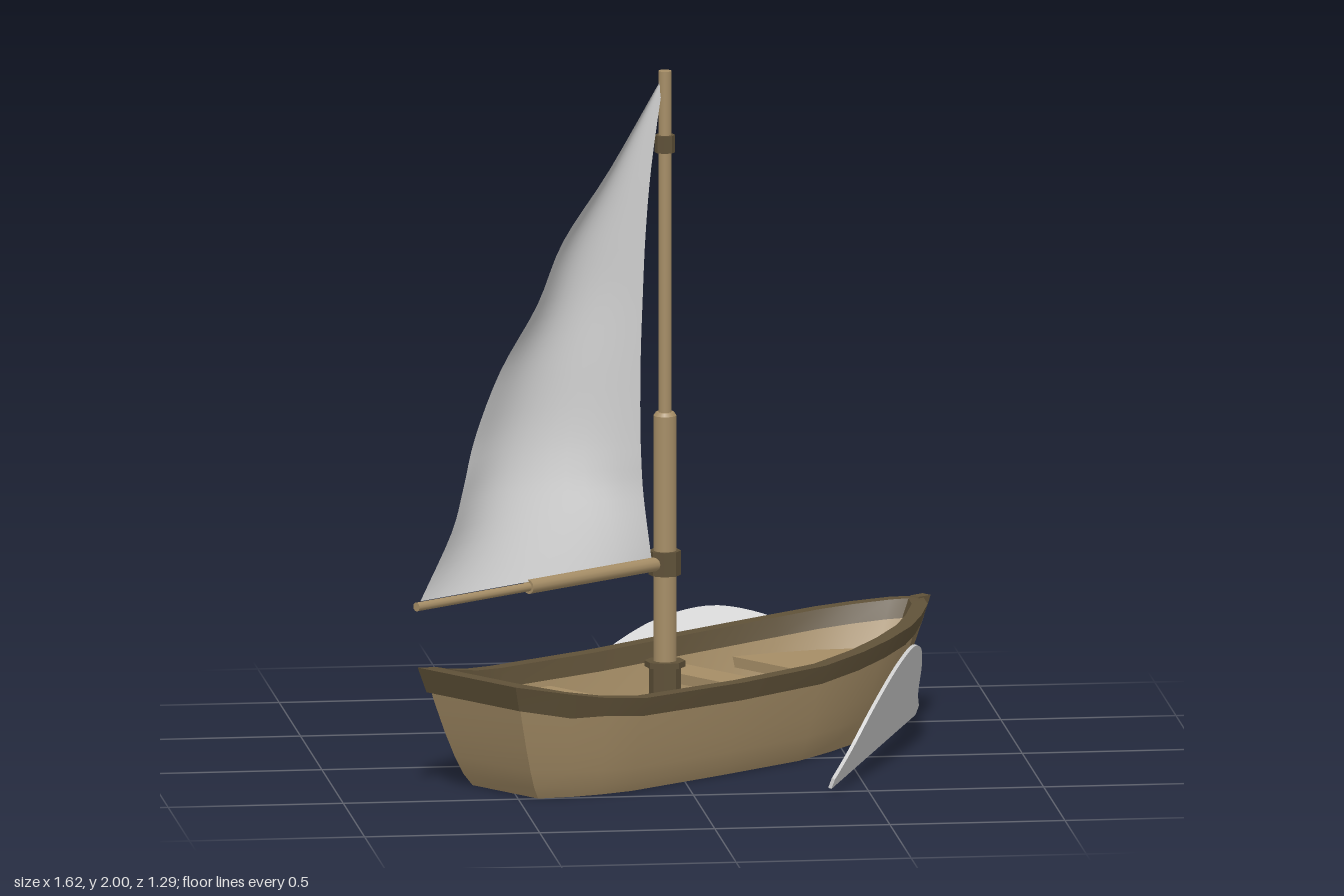
import * as THREE from 'three';
import { toCreasedNormals } from 'three/addons/utils/BufferGeometryUtils.js';

const mat = (color, side = THREE.FrontSide) => new THREE.MeshStandardMaterial({ color, side });
const wood = mat(0xa58d66), pale = mat(0xbca885), dark = mat(0x5f5138);
const grey = mat(0xcccccc, THREE.DoubleSide);

// Hull stations, stern to bow: x, half width and height at the rim, then x and half width at the keel
const stations = [
  [-0.77, 0.203, 0.35, -0.62, 0.136], [-0.61, 0.265, 0.317, -0.53, 0.185],
  [-0.5, 0.298, 0.297, -0.45, 0.213], [-0.38, 0.325, 0.285, -0.35, 0.235],
  [0, 0.328, 0.28, 0, 0.24], [0.32, 0.325, 0.285, 0.3, 0.235],
  [0.5, 0.29, 0.296, 0.45, 0.2], [0.64, 0.25, 0.308, 0.56, 0.165],
  [0.77, 0.2, 0.322, 0.65, 0.125], [0.86, 0.145, 0.333, 0.71, 0.09],
  [0.95, 0.075, 0.344, 0.76, 0.05], [1.0, 0, 0.35, 0.79, 0],
];
const last = stations.length - 1;

function add(parent, name, geometry, material, x = 0, y = 0, z = 0) {
  const mesh = new THREE.Mesh(geometry, material);
  mesh.name = name;
  mesh.position.set(x, y, z);
  parent.add(mesh);
  return mesh;
}

// Moves a closed outline inwards in plan by d, with mitred corners
function inset(ring, d) {
  const n = ring.length;
  const inward = (a, b) => new THREE.Vector3(b.z - a.z, 0, a.x - b.x).normalize();
  return ring.map((p, i) => {
    const n1 = inward(ring[(i + n - 1) % n], p), n2 = inward(p, ring[(i + 1) % n]);
    return p.clone().addScaledVector(n1.clone().add(n2), d / (1 + n1.dot(n2)));
  });
}

// Closed outline of the hull; height(top, x) gives the level at each station
function outline(height, d = 0) {
  const half = stations.map(([x, w, top, xb, wb]) => {
    const t = height(top, x) / top, f = Math.pow(t, 0.75);
    return new THREE.Vector3(xb + (x - xb) * f, t * top, wb + (w - wb) * f);
  });
  const mirrored = half.slice(0, last).reverse().map((p) => new THREE.Vector3(p.x, p.y, -p.z));
  return inset([...half, ...mirrored], d);
}

// Joins outlines of equal length into one skin
function loft(rings, crease = 0.5) {
  const pos = [];
  const tri = (a, b, c) => {
    if (!a.equals(b) && !b.equals(c) && !a.equals(c)) for (const p of [a, b, c]) pos.push(p.x, p.y, p.z);
  };
  for (let k = 0; k + 1 < rings.length; k++) {
    const r = rings[k], s = rings[k + 1], n = r.length;
    for (let i = 0; i < n; i++) {
      const j = (i + 1) % n;
      tri(r[i], r[j], s[j]);
      tri(r[i], s[j], s[i]);
    }
  }
  const g = new THREE.BufferGeometry();
  g.setAttribute('position', new THREE.Float32BufferAttribute(pos, 3));
  return toCreasedNormals(g, crease);
}
const centre = (ring, y) => ring.map(() => new THREE.Vector3(0.1, y, 0));

function addHull(boat) {
  // Planking tucks in slightly under the rail
  const steps = [0, 0.1, 0.25, 0.45, 0.7, 0.95];
  const outer = steps.map((k) => outline((top) => top * k, 0.014 * k));
  add(boat, 'hullOutside', loft(outer), wood);
  add(boat, 'hullBottom', loft([centre(outer[0], 0), outer[0]]), dark);

  // Inner walls run from the rim down to the flat floor
  const floorY = 0.09;
  const inner = [0.95, 0.6, 0.3, 0].map((k) => outline((top) => floorY + (top - floorY) * k, 0.035));
  add(boat, 'hullInside', loft(inner), wood);
  add(boat, 'floor', loft([inner[3], centre(inner[3], floorY)]), pale);

  // Rail around the rim
  const low = (top, x) => top - (x < -0.6 ? 0.073 : 0.054);
  const rim = (top) => top;
  const rail = [outline(low), outline(rim), outline(rim, 0.045), outline(low, 0.045), outline(low)];
  add(boat, 'rail', loft(rail, 0.4), dark);

  // Stem post along the raked bow
  const edge = [0, 0.2, 0.4, 0.6, 0.8, 1].map((k) => outline((top) => top * k)[last]);
  const stem = new THREE.Shape([
    ...edge.map((p) => new THREE.Vector2(p.x + 0.016, p.y)),
    ...edge.reverse().map((p) => new THREE.Vector2(p.x - 0.03, p.y)),
  ]);
  add(boat, 'stemPost', new THREE.ExtrudeGeometry(stem, { depth: 0.034, bevelEnabled: false }), dark, 0, 0.003, -0.017);
}

function addSeats(boat) {
  const level = 0.21;
  const ring = outline(() => level, 0.025);
  const ends = { bowDeck: (p) => p.x > 0.45, sternDeck: (p) => p.x < -0.45 };
  for (const [name, keep] of Object.entries(ends)) {
    const shape = new THREE.Shape(ring.filter(keep).map((p) => new THREE.Vector2(p.x, p.z)));
    const g = new THREE.ExtrudeGeometry(shape, { depth: 0.03, bevelEnabled: false }).rotateX(Math.PI / 2);
    add(boat, name, g, wood, 0, level, 0);
  }
  for (const x of [-0.245, 0.255]) add(boat, 'seat', new THREE.BoxGeometry(0.11, 0.03, 0.56), wood, x, level - 0.015, 0);
}

function addSpars(boat) {
  // Round parts of the mast: name, bottom, top, radius, material, sides
  const parts = [
    ['mastStep', 0.09, 0.285, 0.045, dark, 8], ['mastStepCollar', 0.28, 0.297, 0.058, dark, 8],
    ['lowerMast', 0.1, 1.005, 0.033, wood, 16], ['upperMast', 1.0, 2.0, 0.019, wood, 16],
    ['boomCollar', 0.545, 0.615, 0.046, dark, 8], ['topCollar', 1.765, 1.815, 0.029, dark, 8],
  ];
  for (const [name, y0, y1, r, m, sides] of parts) {
    const g = new THREE.CylinderGeometry(r, r, y1 - y0, sides);
    add(boat, name, sides === 8 ? toCreasedNormals(g, 0.5) : g, m, 0, (y0 + y1) / 2, 0);
  }
  add(boat, 'mastShoulder', new THREE.CylinderGeometry(0.026, 0.033, 0.01, 16), wood, 0, 1.01, 0);
  for (const [name, x0, x1, r] of [['boom', -0.53, 0, 0.021], ['boomTip', -0.965, -0.53, 0.013]]) {
    const g = new THREE.CylinderGeometry(r, r, x1 - x0, 12).rotateZ(Math.PI / 2);
    add(boat, name, g, wood, (x0 + x1) / 2, 0.58, 0);
  }
}

// Sail rows: height, leech x and z, luff x, depth of the belly
function addSail(model) {
  const rows = [
    [0.595, -0.79, 0.585, -0.065, 0], [0.77, -0.69, 0.49, -0.085, 0.1], [0.88, -0.645, 0.4, -0.092, 0.13],
    [1.0, -0.595, 0.265, -0.095, 0.11], [1.17, -0.51, 0.16, -0.094, 0.085], [1.35, -0.4, 0.12, -0.088, 0.08],
    [1.53, -0.325, 0.11, -0.08, 0.07], [1.73, -0.19, 0.09, -0.063, 0.045], [1.985, -0.03, 0.028, -0.028, 0],
  ];
  const curve = (f) => new THREE.CatmullRomCurve3(rows.map(f), false, 'catmullrom', 0.5);
  const leech = curve(([y, x, z]) => new THREE.Vector3(x, y, z));
  const luff = curve(([y, , , x], i) => new THREE.Vector3(x, y, i ? 0.035 : 0.055));
  const belly = curve(([y, , , , b]) => new THREE.Vector3(b, y, 0));
  const g = new THREE.PlaneGeometry(1, 1, 14, 32);
  const pos = g.attributes.position;
  for (let i = 0; i < pos.count; i++) {
    const s = pos.getX(i) + 0.5, t = pos.getY(i) + 0.5;
    const p = leech.getPoint(t).lerp(luff.getPoint(t), s);
    const b = belly.getPoint(t).x * Math.sin(Math.PI * s);
    pos.setXYZ(i, p.x - 0.59 * b, p.y, p.z - 0.807 * b);
  }
  g.computeVertexNormals();
  add(model, 'sail', g, grey);
}

// Thin hump-shaped bow waves that lean away from the hull
function addBowWaves(model) {
  const side = [[0.56, 0.03], [0.51, 0.055], [0.43, 0.105], [0.32, 0.2], [0.2, 0.275], [0.1, 0.312]];
  const crest = [...side, [0, 0.327], ...side.slice().reverse().map(([x, y]) => [-x, y])];
  const shape = new THREE.Shape();
  shape.moveTo(-0.56, 0);
  shape.lineTo(0.56, 0);
  shape.lineTo(0.56, 0.03);
  shape.splineThru(crest.slice(1).map(([x, y]) => new THREE.Vector2(x, y)));
  const g = new THREE.ExtrudeGeometry(shape, { depth: 0.01, bevelEnabled: false, curveSegments: 3 });
  for (const [name, x, z, turn] of [['rightBowWave', 0.195, -0.53, 0], ['leftBowWave', 0.575, 0, Math.PI + 1.235]]) {
    const wave = add(model, name, g, grey, x, 0.014, z);
    wave.rotation.set(-0.36, turn, 0, 'YXZ');
  }
}

export function createModel() {
  const model = new THREE.Group();
  model.name = 'sailboat';
  // The boat is built along x with its mast at the origin, then turned
  const boat = new THREE.Group();
  boat.name = 'boat';
  boat.position.set(-0.023, 0, 0.022);
  boat.rotation.y = 0.631;
  model.add(boat);
  addHull(boat);
  addSeats(boat);
  addSpars(boat);
  addSail(model);
  addBowWaves(model);
  return model;
}
